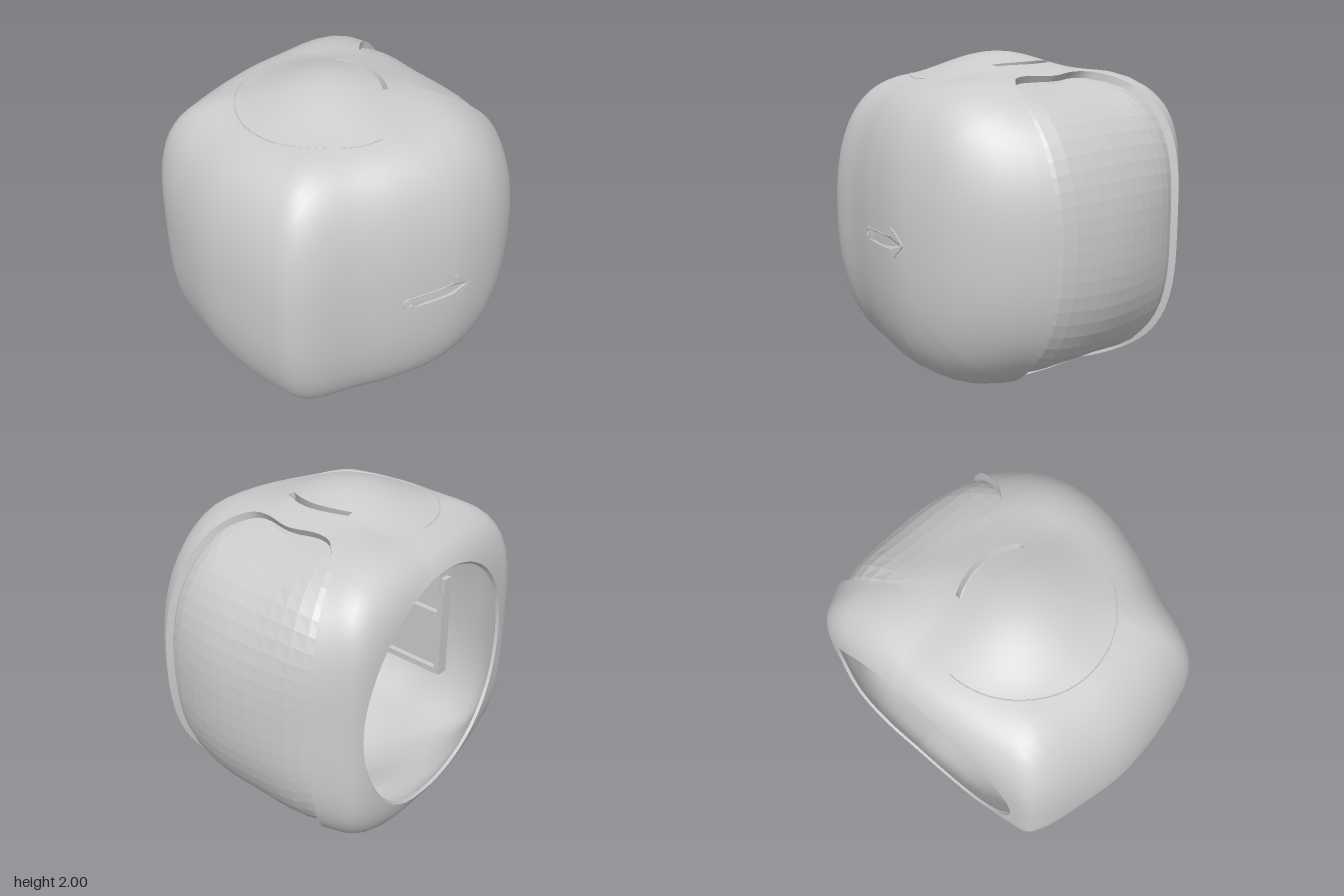
import * as THREE from 'three';
import { mergeVertices } from 'three/addons/utils/BufferGeometryUtils.js';

const { lerp, clamp, degToRad, smoothstep } = THREE.MathUtils;
const O = new THREE.Vector3(-0.03, 1, -0.03);
const material = (extra = {}) => new THREE.MeshStandardMaterial({ color: 0xcccccc, roughness: 0.8, ...extra });

// Plan outline (x, z) at mid height, stored as angle / radius pairs
const plan = new THREE.CatmullRomCurve3([
  [0.99, -0.07], [0.97, 0.2], [0.92, 0.43], [0.82, 0.57], [0.7, 0.69], [0.5, 0.81], [0.3, 0.86], [0.1, 0.87],
  [-0.2, 0.81], [-0.5, 0.71], [-0.75, 0.64], [-0.86, 0.57], [-0.92, 0.42], [-0.97, 0.2], [-0.995, -0.07],
  [-0.96, -0.35], [-0.9, -0.6], [-0.84, -0.7], [-0.72, -0.735], [-0.3, -0.81], [0.1, -0.86], [0.6, -0.88],
  [0.72, -0.84], [0.8, -0.75], [0.89, -0.62], [0.96, -0.35],
].map(([x, z]) => new THREE.Vector3(x, 0, z)), true).getPoints(500)
  .map(p => [Math.atan2(p.z - O.z, p.x - O.x), Math.hypot(p.x - O.x, p.z - O.z)])
  .sort((a, b) => a[0] - b[0]);

function planRadius(theta) {
  let lo = 0, hi = plan.length - 1;
  if (theta <= plan[0][0] || theta >= plan[hi][0]) return plan[0][1];
  while (hi - lo > 1) {
    const mid = (lo + hi) >> 1;
    if (plan[mid][0] > theta) hi = mid; else lo = mid;
  }
  const span = plan[hi][0] - plan[lo][0];
  return span < 1e-9 ? plan[lo][1] : lerp(plan[lo][1], plan[hi][1], (theta - plan[lo][0]) / span);
}

// Rounded body with a shallow dome above and below
function isInside(p) {
  const x = p.x - O.x, z = p.z - O.z, rho = Math.hypot(x, z);
  const theta = Math.atan2(z, x), c = Math.cos(theta);
  const right = Math.max(0, c) ** 2, left = Math.max(0, -c) ** 2, back = Math.max(0, -Math.sin(theta)) ** 3;
  const n = 5 - 2 * right - 0.5 * left, m = 2.35 - 0.1 * left + 5.4 * back;
  const q = Math.min(1, Math.hypot(p.x + 0.07, p.z + 0.07) / 0.54);
  const dome = (1 - q * q) ** 2;
  const shoulder = smoothstep(p.x, 0.05, 0.35) * (1 - 0.6 * smoothstep(p.x, 0.4, 0.65));
  const height = 0.88 + 0.12 * dome + 0.025 * shoulder * (1 - dome);
  return (rho / planRadius(theta)) ** n + (Math.abs(p.y - 1) / height) ** m < 1;
}

// Point where a ray from inside leaves the body
function hit(origin, dir) {
  let lo = 0, hi = 2;
  const p = new THREE.Vector3();
  for (let k = 0; k < 26; k++) {
    const mid = (lo + hi) / 2;
    if (isInside(p.copy(origin).addScaledVector(dir, mid))) lo = mid; else hi = mid;
  }
  return p;
}

// Angles around the z axis (a) and towards +z (e), in degrees
const edgeBlend = a => Math.min(1, Math.abs(a) / 62) ** 2;
const backEdge = a => -34.5 + 10.5 * edgeBlend(a);
const frontEdge = a => 26 - 6 * edgeBlend(a);
const rimEdge = a => -THREE.MathUtils.radToDeg(Math.atan((0.78 + 0.06 * Math.cos(degToRad(a))) / 0.71));
function surface(a, e) {
  const A = degToRad(a), E = degToRad(e);
  return hit(O, new THREE.Vector3(Math.cos(A) * Math.cos(E), Math.sin(A) * Math.cos(E), Math.sin(E)));
}

// Thick skin on a grid: kept cells get an outer and inner face, open edges get a wall
function skin(name, cols, rows, at, outerScale, innerScale, keep, wraps, mat) {
  const group = new THREE.Group();
  group.name = name;
  const base = cols.map(c => rows.map(v => at(c, v)));
  const scaled = fn => base.map((col, i) => col.map((p, j) => p.clone().sub(O).multiplyScalar(fn(cols[i], rows[j])).add(O)));
  const out = scaled(outerScale), inn = scaled(innerScale);
  const tris = { outer: [], inner: [], edge: [] };
  const quad = (list, a, b, c, d) => { for (const p of [a, b, c, a, c, d]) list.push(p.x, p.y, p.z); };
  const nc = cols.length - 1, nr = rows.length - 1;
  const kept = (i, j) => {
    if (wraps) i = (i + nc) % nc;
    return i >= 0 && i < nc && j >= 0 && j < nr && keep((cols[i] + cols[i + 1]) / 2, (rows[j] + rows[j + 1]) / 2);
  };
  for (let i = 0; i < nc; i++) for (let j = 0; j < nr; j++) {
    if (!kept(i, j)) continue;
    const ring = [[i, j], [i + 1, j], [i + 1, j + 1], [i, j + 1]];
    quad(tris.outer, ...ring.map(([x, y]) => out[x][y]));
    quad(tris.inner, ...ring.map(([x, y]) => inn[x][y]).reverse());
    [[i, j - 1], [i + 1, j], [i, j + 1], [i - 1, j]].forEach(([ni, nj], k) => {
      if (kept(ni, nj)) return;
      const [ax, ay] = ring[k], [bx, by] = ring[(k + 1) % 4];
      quad(tris.edge, out[bx][by], out[ax][ay], inn[ax][ay], inn[bx][by]);
    });
  }
  for (const [part, list] of Object.entries(tris)) {
    let g = new THREE.BufferGeometry();
    g.setAttribute('position', new THREE.Float32BufferAttribute(list, 3));
    g = mergeVertices(g, 1e-5);
    g.computeVertexNormals();
    const mesh = new THREE.Mesh(g, mat);
    mesh.name = `${name} ${part}`;
    group.add(mesh);
  }
  return group;
}

// Evenly divided list through the given stops
const divide = (stops, counts) => counts.flatMap((n, s) =>
  Array.from({ length: n }, (_, k) => lerp(stops[s], stops[s + 1], k / n))).concat(stops.at(-1));

export function createModel() {
  const model = new THREE.Group();
  model.name = 'hollowRoundedHousing';
  const add = (name, geometry, x = 0, y = 0, z = 0) => {
    const mesh = new THREE.Mesh(geometry, material());
    mesh.name = name;
    mesh.position.set(x, y, z);
    model.add(mesh);
  };

  // Shell: columns 0-1 span the side window, 2-3 the crescent slots
  const angleAt = (c, v) => {
    const t = clamp(v, -1, 1), s = Math.min(1, Math.abs(t) / 0.6);
    const slot = 74 + 3.8 * s * s;
    const win = 65.5 - 2 * Math.exp(-((t / 0.35) ** 2)) - 12 * Math.abs(t) ** 8;
    const stops = [0, win, slot, slot + 2.4, 180];
    const k = Math.min(3, Math.floor(Math.abs(c)));
    return Math.sign(c) * lerp(stops[k], stops[k + 1], Math.abs(c) - k);
  };
  const shellPoint = (c, v) => {
    const a = angleAt(c, v), b = backEdge(a), f = frontEdge(a);
    if (v < -1) return surface(a, lerp(rimEdge(a), b, v + 2));
    if (v > 1) return surface(a, lerp(f, 90, v - 1));
    return surface(a, lerp(b, f, (v + 1) / 2));
  };
  model.add(skin('shell',
    divide([-4, -3, -2, -1, 0, 1, 2, 3, 4], [30, 2, 4, 18, 18, 4, 2, 30]),
    divide([-2, -1, -0.6, 0.6, 1, 2], [10, 8, 16, 8, 24]),
    shellPoint, () => 1, (c, v) => 0.98 - 0.03 * smoothstep(v, -2, -1.5),
    (c, v) => !(Math.abs(c) < 1 && Math.abs(v) < 1) && !(Math.abs(c) > 2 && Math.abs(c) < 3 && Math.abs(v) < 0.6),
    true, material()));

  // Curved panel set into the side window
  const panelScale = (a, v) => 0.995 - 0.04 * Math.max(Math.abs(v) ** 3, smoothstep(Math.abs(a), 35, 64));
  model.add(skin('sidePanel', divide([-69, 69], [28]), divide([-1, 1], [14]),
    (a, v) => surface(a, lerp(backEdge(a) - 2, frontEdge(a) + 2, (v + 1) / 2)),
    panelScale, (a, v) => panelScale(a, v) - 0.035, () => true, false, material({ flatShading: true })));

  // Seam arcs of the two domes
  for (const side of [1, -1]) {
    const arc = Array.from({ length: 33 }, (_, k) => {
      const w = degToRad(lerp(95, 265, k / 32));
      return hit(new THREE.Vector3(-0.07 + 0.53 * Math.cos(w), 1, -0.07 + 0.52 * Math.sin(w)), new THREE.Vector3(0, side, 0));
    });
    add('domeSeam', new THREE.TubeGeometry(new THREE.CatmullRomCurve3(arc), 64, 0.004, 6));
  }

  // Low ring inside the upper dome
  add('domeInnerRing', new THREE.TorusGeometry(0.46, 0.02, 8, 48).rotateX(Math.PI / 2), -0.07, 1.825, -0.07);

  // Raised arrow wrapped onto the front
  const arrow = new THREE.Shape();
  arrow.absarc(-0.21, 0, 0.036, 1.1, Math.PI * 2 - 1.1, false);
  const lower = [[-0.13, -0.034], [-0.06, -0.035], [0, -0.036], [0.07, -0.037], [0.07, -0.085], [0.1, -0.08], [0.17, -0.02]];
  const upper = lower.map(([x, y]) => [x, -y]).reverse();
  for (const [x, y] of [...lower, [0.185, 0], ...upper]) arrow.lineTo(x, y);
  arrow.holes.push(new THREE.Path().absarc(-0.21, 0, 0.018, 0, Math.PI * 2, true));
  const arrowGeo = new THREE.ExtrudeGeometry(arrow, { depth: 0.03, bevelEnabled: false, curveSegments: 10 });
  const pos = arrowGeo.attributes.position;
  for (let i = 0; i < pos.count; i++) {
    const p = hit(new THREE.Vector3(pos.getX(i), 1 + pos.getY(i), 0), new THREE.Vector3(0, 0, 1));
    pos.setXYZ(i, p.x, p.y, p.z + pos.getZ(i) - 0.022);
  }
  arrowGeo.computeVertexNormals();
  add('frontArrow', arrowGeo);

  // Frame with two openings on the inner wall
  const rect = (T, x, y, w, h) => new T().moveTo(x, y).lineTo(x + w, y).lineTo(x + w, y + h).lineTo(x, y + h).closePath();
  const frame = rect(THREE.Shape, -0.3, -0.52, 0.6, 1.04);
  frame.holes.push(rect(THREE.Path, -0.26, -0.06, 0.52, 0.54), rect(THREE.Path, -0.26, -0.48, 0.52, 0.38));
  add('innerFrame', new THREE.ExtrudeGeometry(frame, { depth: 0.08, bevelEnabled: false }).rotateY(Math.PI / 2), -0.84, 1, 0.02);
  add('innerFrameBack', new THREE.BoxGeometry(0.03, 1.02, 0.58), -0.815, 1, 0.02);

  // Small latch under the top of the rear opening
  add('latchBlock', new THREE.BoxGeometry(0.11, 0.16, 0.06), -0.12, 1.61, -0.72);
  add('latchTab', new THREE.BoxGeometry(0.05, 0.09, 0.04), -0.1, 1.58, -0.76);
  return model;
}
